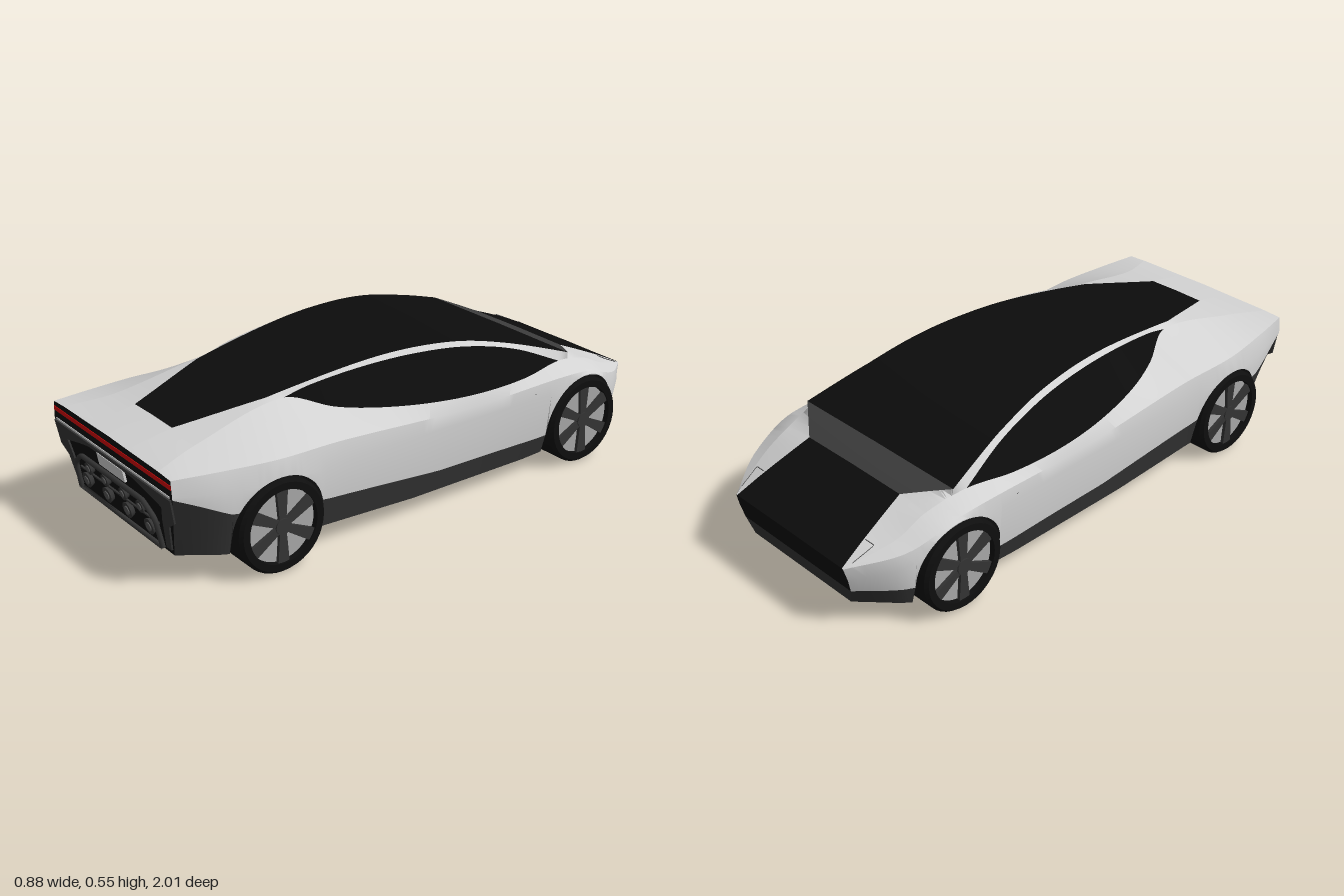
import * as THREE from 'three';
import { toCreasedNormals } from 'three/addons/utils/BufferGeometryUtils.js';

const mat = (name, color) => Object.assign(new THREE.MeshStandardMaterial({ color }), { name });

// Smooth curve through [z, value] points
function curve(pts) {
  const slope = pts.map((p, i) => {
    const a = pts[Math.max(i - 1, 0)], b = pts[Math.min(i + 1, pts.length - 1)];
    return (b[1] - a[1]) / (b[0] - a[0]);
  });
  return (z) => {
    let i = 0;
    while (i < pts.length - 2 && z > pts[i + 1][0]) i++;
    const [z0, a] = pts[i], [z1, b] = pts[i + 1], h = z1 - z0;
    const t = THREE.MathUtils.clamp((z - z0) / h, 0, 1), t2 = t * t, t3 = t2 * t;
    return a * (2 * t3 - 3 * t2 + 1) + slope[i] * h * (t3 - 2 * t2 + t) + b * (3 * t2 - 2 * t3) + slope[i + 1] * h * (t3 - t2);
  };
}
// Straight segments through [z, value] points
const poly = (pts) => (z) => {
  let i = 0;
  while (i < pts.length - 2 && z > pts[i + 1][0]) i++;
  const [z0, a] = pts[i], [z1, b] = pts[i + 1];
  return a + (b - a) * THREE.MathUtils.clamp((z - z0) / (z1 - z0), 0, 1);
};

const AXLES = [-0.655, 0.65], HUB_Y = 0.165, ARCH = 0.166;
const WIN = [-0.58, 0.5];

// Body outline along its length
const roofY = curve([[-1, .25], [-.9, .298], [-.73, .37], [-.63, .408], [-.4, .482], [-.2, .53], [0, .547], [.2, .54], [.5, .5], [.84, .436], [1, .408]]);
const panelX = poly([[-1, .27], [-.73, .228], [-.63, .365], [-.4, .318], [-.2, .288], [0, .263], [.2, .242], [.4, .222], [.55, .205], [.84, .115], [1, .115]]);
const floorY = poly([[-1, .088], [-.82, .082], [-.4, .066], [.1, .07], [.45, .088], [1, .108]]);
const floorX = poly([[-1, .25], [-.82, .38], [-.5, .395], [.5, .395], [.82, .385], [1, .3]]);
const sillY = poly([[-1, .15], [-.8, .148], [-.45, .14], [0, .148], [.45, .19], [.82, .25], [1, .338]]);
const midX = curve([[-1, .28], [-.84, .398], [-.65, .432], [-.2, .425], [.4, .422], [.65, .434], [.85, .412], [1, .375]]);
const midY = poly([[-1, .2], [-.84, .24], [-.65, .3], [.65, .31], [1, .345]]);
const shoulderX = curve([[-1, .275], [-.84, .388], [-.65, .424], [-.2, .42], [.4, .411], [.65, .42], [.85, .396], [1, .37]]);
const shoulderY = curve([[-1, .246], [-.84, .285], [-.65, .346], [-.2, .345], [0, .35], [.4, .375], [.65, .386], [1, .4]]);
const winLowX = curve([[-1, .272], [-.84, .335], [-.73, .345], [-.58, .37], [-.4, .395], [-.2, .404], [0, .39], [.2, .352], [.35, .3], [.5, .23], [.84, .25], [1, .3]]);
const winLowY = curve([[-1, .249], [-.84, .305], [-.73, .355], [-.58, .388], [-.4, .377], [-.2, .379], [0, .391], [.2, .413], [.35, .438], [.5, .485], [.84, .425], [1, .404]]);
const winTopX = curve([[-.58, .37], [-.4, .335], [-.2, .305], [0, .28], [.2, .26], [.4, .24], [.5, .23]]);
const winTopY = curve([[-.58, .388], [-.4, .465], [-.2, .513], [0, .53], [.2, .528], [.4, .508], [.5, .485]]);

// Half cross-section from floor centre round to roof centre
function section(z) {
  const yb = floorY(z), xb = floorX(z), xm = midX(z);
  let low = yb;
  for (const a of AXLES) {
    const d = Math.abs(z - a);
    if (d <= ARCH) low = Math.max(low, HUB_Y + Math.sqrt(ARCH * ARCH - d * d));
  }
  const ym = Math.max(midY(z), low + 0.003), sy = Math.max(sillY(z), low);
  const sideX = (y) => xm - (xm - xb) * ((ym - y) / (ym - yb)) ** 2;
  const inner = Math.min(0.285, xb), inWin = z > WIN[0] && z < WIN[1];
  const wl = [winLowX(z), winLowY(z)];
  const rows = [[0, yb], [inner, yb], [inner, low], [sideX(low), low], [sideX(sy), sy], [xm, ym],
    [shoulderX(z), shoulderY(z)], wl, inWin ? [winTopX(z), winTopY(z)] : wl,
    [panelX(z), roofY(z) - 0.002], [0, roofY(z)]];
  // Rake the nose and tail faces
  const k = Math.max(0, (Math.abs(z) - 0.85) / 0.15);
  return rows.map(([x, y]) => new THREE.Vector3(x, y, z > 0
    ? z - Math.max(0, 0.34 - y) * 0.17 * k : z + Math.max(0, 0.25 - y) * 0.25 * k));
}

// Stations, with extra ones at edges and wheel arches
const cuts = [-.73, -.63, -.58, .5, .84];
for (const a of AXLES) for (let i = 0; i <= 24; i++) cuts.push(a - ARCH * Math.cos(Math.PI * i / 24));
for (const a of AXLES) cuts.push(a - ARCH - 0.0005, a + ARCH + 0.0005);
for (let i = 0; i <= 80; i++) cuts.push(-1 + i / 40);
const stations = [...new Set(cuts.map((z) => +z.toFixed(4)))].sort((a, b) => a - b);
const rings = stations.map(section);

function fromTriangles(tris) {
  const g = new THREE.BufferGeometry().setFromPoints(tris);
  return toCreasedNormals(g, 0.5);
}

export function createModel() {
  const car = new THREE.Group();
  car.name = 'car';
  const silver = mat('silver paint', 0xd2d2d2), black = mat('black glass', 0x0c0c0c), dark = mat('dark trim', 0x343434);
  const under = mat('underbody', 0x1c1c1c), rubber = mat('tyre rubber', 0x0e0e0e), red = mat('red light', 0xd00808);
  const rim = mat('rim metal', 0xa8a8a8), cowlGrey = mat('cowl grey', 0x3c3c3c), lens = mat('lamp grey', 0x555555);

  const add = (name, geo, material, pos = [0, 0, 0], parent = car) => {
    const m = new THREE.Mesh(geo, material);
    m.name = name;
    m.position.set(...pos);
    parent.add(m);
    return m;
  };

  // Mirrored skin strip between two section rows over a length range
  function strip(name, material, r0, r1, z0 = -1, z1 = 1) {
    const tris = [], flip = (p) => new THREE.Vector3(-p.x, p.y, p.z);
    for (let j = 0; j < rings.length - 1; j++) {
      if (stations[j] < z0 - 1e-6 || stations[j + 1] > z1 + 1e-6) continue;
      for (let i = r0; i < r1; i++) {
        const a = rings[j][i], b = rings[j][i + 1], c = rings[j + 1][i], d = rings[j + 1][i + 1];
        for (const t of [[a, b, c], [b, d, c]]) {
          const area = t[1].clone().sub(t[0]).cross(t[2].clone().sub(t[0])).length();
          if (area > 1e-9) tris.push(...t, flip(t[0]), flip(t[2]), flip(t[1]));
        }
      }
    }
    add(name, fromTriangles(tris), material);
  }
  strip('underbody', under, 0, 3);
  strip('lowerSill', dark, 3, 4);
  strip('bodySides', silver, 4, 7);
  strip('sideWindows', black, 7, 8, ...WIN);
  strip('roofRails', silver, 8, 9);
  strip('bonnetPanel', black, 9, 10, -1, -.73);
  strip('cowl', cowlGrey, 9, 10, -.73, -.63);
  strip('roofGlass', black, 9, 10, -.63, .84);
  strip('tailDeck', silver, 9, 10, .84, 1);

  // Nose and tail faces
  function cap(name, ring, front, r0, r1, material) {
    const tris = [];
    for (let i = r0; i < r1; i++) {
      const a = ring[i], b = ring[i + 1];
      const c = new THREE.Vector3(-a.x, a.y, a.z), d = new THREE.Vector3(-b.x, b.y, b.z);
      tris.push(...(front ? [a, b, c, b, d, c] : [a, c, b, b, c, d]));
    }
    add(name, fromTriangles(tris), material);
  }
  cap('noseBumper', rings[0], false, 1, 4, dark);
  cap('noseFace', rings[0], false, 4, 10, black);
  cap('tailFace', rings[rings.length - 1], true, 1, 10, black);

  // Tail light and trim line
  add('tailLight', new THREE.BoxGeometry(.74, .015, .006), red, [0, .377, .999]);
  add('tailTrim', new THREE.BoxGeometry(.72, .007, .006), silver, [0, .342, .999]);

  // Rear bumper details, laid on the raked tail face
  const tail = new THREE.Group();
  tail.name = 'rearBumper';
  tail.position.set(0, .34, 1);
  tail.rotation.x = Math.atan(.17);
  car.add(tail);
  const band = [[.368, -.004], [.362, -.09], [.32, -.12], [.3, -.215], [.27, -.215], [.285, -.11], [.3, -.055], [.2, -.03], [.14, -.018]];
  const bandShape = new THREE.Shape([...band, ...band.map(([x, y]) => [-x, y]).reverse()].map((p) => new THREE.Vector2(...p)));
  add('bumperFrame', new THREE.ExtrudeGeometry(bandShape, { depth: .006, bevelEnabled: false }), dark, [0, 0, 0], tail);
  add('plate', new THREE.BoxGeometry(.165, .044, .008), silver, [0, -.038, .004], tail);
  const path = (pts) => new THREE.CatmullRomCurve3(pts.map(([x, y, z = .014]) => new THREE.Vector3(x, y, z)), false, 'catmullrom', .2);
  const bar = [[-.262, -.215], [-.255, -.13], [-.245, -.108], [-.2, -.074], [-.17, -.071]];
  add('bullBar', new THREE.TubeGeometry(path([...bar, ...bar.map(([x, y]) => [-x, y]).reverse()]), 60, .009, 8), dark, [0, 0, 0], tail);
  add('lowerBar', new THREE.TubeGeometry(path([[-.265, -.215], [.265, -.215]]), 2, .008, 8), dark, [0, 0, 0], tail);
  add('lampRail', new THREE.BoxGeometry(.5, .006, .006), dark, [0, -.138, .003], tail);
  for (const [x, y, r] of [[.058, -.108, .022], [.165, -.108, .022], [.065, -.166, .028], [.2, -.166, .028]])
    for (const s of [-1, 1]) {
      add('lampHousing', new THREE.CylinderGeometry(r, r * .8, .016, 16).rotateX(Math.PI / 2), dark, [s * x, y, .008], tail);
      add('lampLens', new THREE.CylinderGeometry(r * .55, r * .55, .004, 16).rotateX(Math.PI / 2), lens, [s * x, y, .017], tail);
    }

  // Wheels
  const tyreProfile = [[.124, -.07], [.15, -.072], [.16, -.06], [.16, .06], [.15, .072], [.126, .072], [.124, .03], [.124, -.07]];
  const tyreGeo = toCreasedNormals(new THREE.LatheGeometry(tyreProfile.map((p) => new THREE.Vector2(...p)), 40), .5);
  tyreGeo.rotateZ(-Math.PI / 2);
  const spokeShape = new THREE.Shape([[-.012, .015], [.012, .015], [.021, .126], [-.021, .126]].map((p) => new THREE.Vector2(...p)));
  const spokeGeo = new THREE.ExtrudeGeometry(spokeShape, { depth: .012, bevelEnabled: false }).rotateY(Math.PI / 2);
  for (const z of AXLES) for (const s of [1, -1]) {
    const wheel = new THREE.Group();
    wheel.name = (z < 0 ? 'nose' : 'tail') + (s > 0 ? 'LeftWheel' : 'RightWheel');
    wheel.position.set(s * .368, HUB_Y - .003, z);
    wheel.rotation.y = s > 0 ? 0 : Math.PI;
    car.add(wheel);
    add('tyre', tyreGeo, Object.assign(rubber, { side: THREE.DoubleSide }), [0, 0, 0], wheel);
    add('rimDisc', new THREE.CylinderGeometry(.126, .126, .08, 32).rotateZ(Math.PI / 2), rim, [.012, 0, 0], wheel);
    add('hub', new THREE.CylinderGeometry(.028, .028, .02, 16).rotateZ(Math.PI / 2), dark, [.06, 0, 0], wheel);
    for (let i = 0; i < 6; i++) add('spoke', spokeGeo, dark, [.054, 0, 0], wheel).rotation.x = i * Math.PI / 3;
  }

  for (const s of [1, -1]) {
    // Side vents and jacking points
    add('sideVent', new THREE.BoxGeometry(.008, .018, .09), black, [s * .425, .312, -.46]);
    for (const z of [-.36, .4])
      add('jackPoint', new THREE.CylinderGeometry(.016, .016, .012, 16), lens, [s * .27, floorY(z) - .004, z]);
    for (const z of [-.2, .2])
      add('floorSlot', new THREE.BoxGeometry(.01, .006, .2), dark, [s * .06, floorY(z) - .001, z]);
    // Headlight outline on each nose corner
    const lamp = [[.285, -.97], [.3, -.895], [.255, -.895]].map(([x, z]) => new THREE.Vector3(s * x, roofY(z) - .004, z));
    add('headlightEdge', new THREE.TubeGeometry(new THREE.CatmullRomCurve3(lamp, false, 'catmullrom', 0), 12, .0015, 4), lens);
  }
  return car;
}
